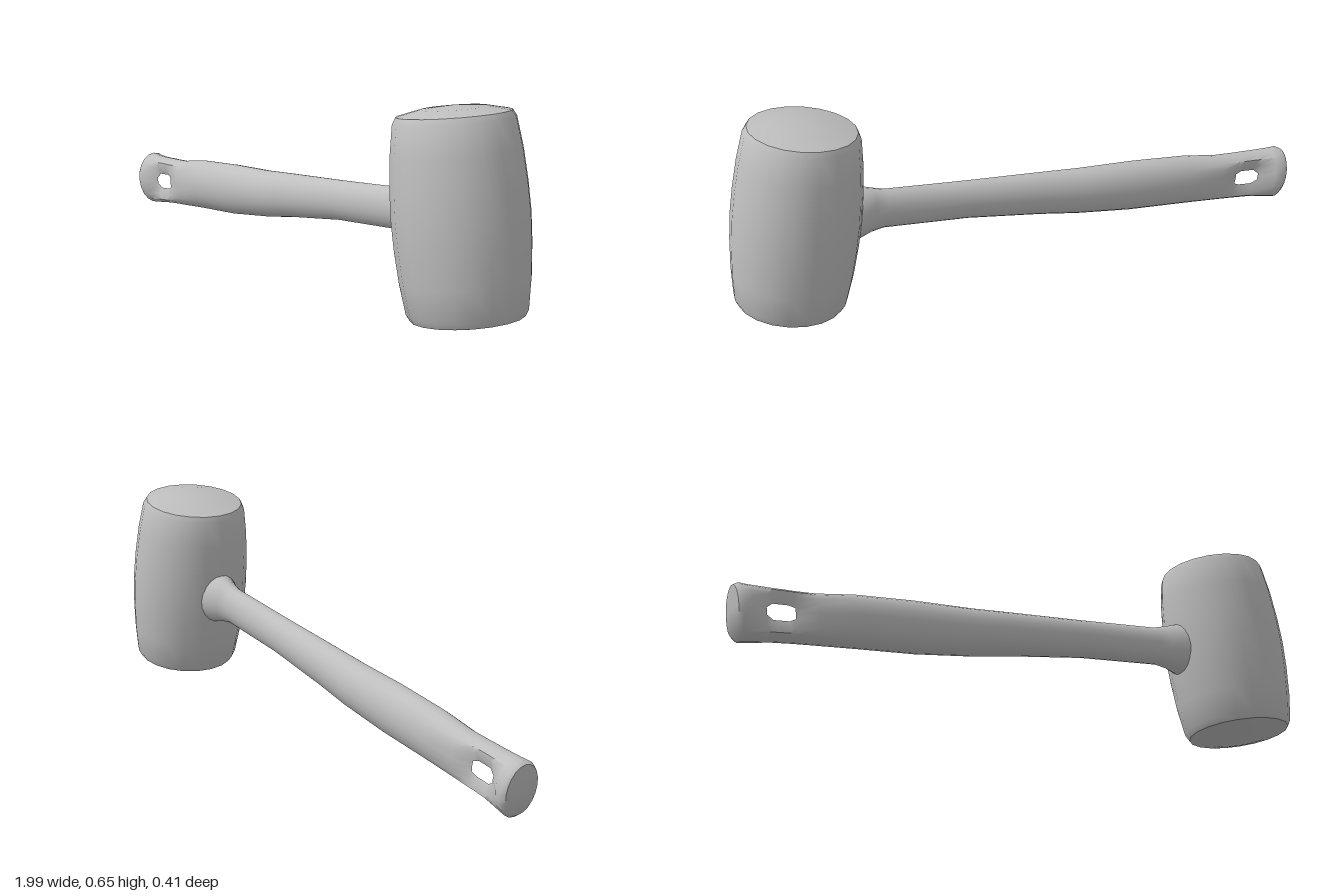
import * as THREE from 'three';
import { toCreasedNormals } from 'three/addons/utils/BufferGeometryUtils.js';

const SIDES = 20;
const TILT = 0.135;

// Handle cross-sections: x, bottom y, top y, half depth, z offset, dish (side depth factor), hole height factor
const SECTIONS = [
  [-0.985, 0.03, 0.195, 0.062, -0.01, 1, 1],
  [-0.97, 0.018, 0.204, 0.071, -0.01, 1, 1],
  [-0.94, 0.023, 0.203, 0.068, -0.007, 0.95, 1],
  [-0.89, 0.032, 0.205, 0.063, -0.004, 0.5, 0.45],
  [-0.87, 0.036, 0.206, 0.061, -0.003, 0.45, 1],
  [-0.82, 0.043, 0.21, 0.061, -0.003, 0.45, 1],
  [-0.8, 0.046, 0.211, 0.062, -0.003, 0.5, 0.7],
  [-0.73, 0.054, 0.217, 0.061, -0.002, 0.85, 1],
  [-0.6, 0.069, 0.242, 0.061, -0.002, 1, 1],
  [-0.4, 0.09, 0.264, 0.062, 0, 1, 1],
  [-0.2, 0.122, 0.28, 0.061, 0, 1, 1],
  [-0.06, 0.15, 0.296, 0.055, 0, 1, 1],
  [0.2, 0.195, 0.324, 0.047, 0, 1, 1],
  [0.49, 0.227, 0.358, 0.042, 0, 1, 1],
  [0.53, 0.222, 0.37, 0.048, 0, 1, 1],
  [0.58, 0.21, 0.385, 0.072, 0, 1, 1],
  [0.64, 0.21, 0.385, 0.075, 0, 1, 1],
];
const HOLE_START = 3, HOLE_END = 6;

function handleGeometry() {
  const pos = [], index = [];
  const at = (i, j) => i * SIDES + ((j + SIDES) % SIDES);
  for (const [x, y0, y1, depth, zOff, dish, pinch] of SECTIONS) {
    for (let j = 0; j < SIDES; j++) {
      const a = (j / SIDES) * Math.PI * 2;
      const off = Math.min(j % 10, 10 - (j % 10)); // steps from the side centre line
      const side = off < 2 ? dish : off === 2 ? (1 + dish) / 2 : 1;
      const dy = Math.sin(a) * (y1 - y0) / 2 * (off === 1 ? pinch : 1);
      pos.push(x - TILT * dy, (y0 + y1) / 2 + dy, zOff + Math.cos(a) * depth * side);
    }
  }
  const quad = (a, b, c, d) => index.push(a, b, c, a, c, d);
  const inHole = (i, j) => i >= HOLE_START && i < HOLE_END && [0, 9, 10, 19].includes(j);
  for (let i = 0; i < SECTIONS.length - 1; i++) {
    for (let j = 0; j < SIDES; j++) {
      if (!inHole(i, j)) quad(at(i, j), at(i + 1, j), at(i + 1, j + 1), at(i, j + 1));
    }
  }
  // Walls of the hanging hole, joining the front rim to the back rim
  const rim = [];
  for (let i = HOLE_START; i <= HOLE_END; i++) rim.push([i, 1]);
  rim.push([HOLE_END, 0]);
  for (let i = HOLE_END; i >= HOLE_START; i--) rim.push([i, -1]);
  rim.push([HOLE_START, 0]);
  rim.forEach(([i, j], k) => {
    const [i2, j2] = rim[(k + 1) % rim.length];
    quad(at(i, j), at(i2, j2), at(i2, 10 - j2), at(i, 10 - j));
  });
  // Butt end
  const [x, y0, y1, , z] = SECTIONS[0];
  const centre = pos.length / 3;
  pos.push(x - 0.006, (y0 + y1) / 2, z);
  for (let j = 0; j < SIDES; j++) index.push(centre, at(0, j), at(0, j + 1));
  const g = new THREE.BufferGeometry();
  g.setAttribute('position', new THREE.Float32BufferAttribute(pos, 3));
  g.setIndex(index);
  return toCreasedNormals(g, 0.9);
}

// Barrel-shaped head with slightly domed striking faces
function headGeometry() {
  const half = [[0.205, 0], [0.202, 0.09], [0.194, 0.19], [0.181, 0.28], [0.17, 0.3], [0.1, 0.316], [0, 0.324]];
  const profile = [
    ...half.slice(1).reverse().map(([r, y]) => new THREE.Vector2(r, -y)),
    ...half.map(([r, y]) => new THREE.Vector2(r, y)),
  ];
  return toCreasedNormals(new THREE.LatheGeometry(profile, 20), 0.6);
}

export function createModel() {
  const group = new THREE.Group();
  group.name = 'mallet';
  const grey = new THREE.MeshStandardMaterial({ color: 0xbfbfbf });
  grey.name = 'grey';

  const head = new THREE.Mesh(headGeometry(), grey);
  head.name = 'head';
  head.position.set(0.777, 0.329, 0);
  head.rotation.z = TILT;

  const handle = new THREE.Mesh(handleGeometry(), grey);
  handle.name = 'handle';

  group.add(head, handle);
  return group;
}
